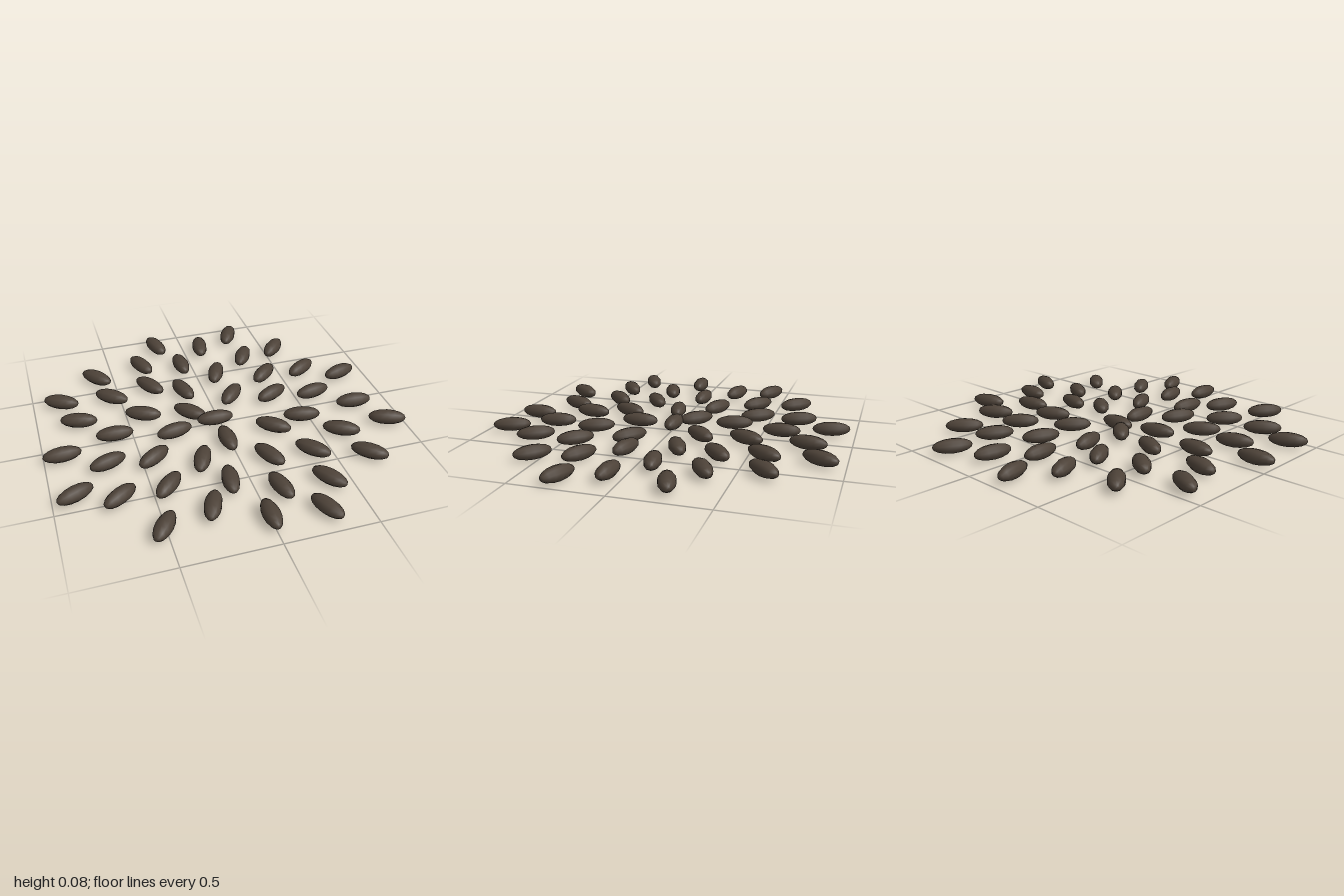
import * as THREE from 'three';

// Each seed: x and z in hundredths of a unit, heading in degrees (from +x towards +z)
const INNER = [
  [-3, 0, 1], [-15, -10, 45], [-2, 20, 88], [13, -20, -49], [-28, 5, -11], [26, 16, 39],
  [-13, -33, 74], [-20, 33, -66], [36, -14, -26], [-41, -16, 25], [15, 40, 64], [11, -45, -66],
  [-44, 24, -35], [45, 11, 13], [-31, -43, 57], [-11, 53, -83],
];
const MIDDLE = [
  [39, -36, -43], [-60, -2, 2], [39, 42, 47], [-7, -61, 87], [-42, 48, -47], [60, -9, -10],
  [-55, -38, 38], [12, 65, 78], [33, -59, -60], [-68, 21, -18], [61, 30, 30], [-31, -67, 68],
  [-25, 69, -67], [63, -35, -32], [-77, -20, 16], [38, 66, 56],
];
const OUTER = [
  [10, -78, -80], [-67, 49, -35], [79, 7, 4], [-60, -61, 49], [0, 83, 90], [55, -63, -48],
  [-90, 8, -4], [67, 53, 42], [-17, -87, 75], [-51, 76, -55], [84, -24, -17], [-84, -41, 28],
  [28, 86, 66], [32, -87, -63], [-88, 41, -24], [90, 28, 22],
];

// Low-sided ellipsoid with its poles at the two tips
function makeSeedGeometry() {
  const geometry = new THREE.SphereGeometry(1, 10, 8);
  geometry.rotateZ(-Math.PI / 2);
  geometry.scale(0.104, 0.04, 0.046);
  return geometry;
}

export function createModel() {
  const model = new THREE.Group();
  model.name = 'seedSpiral';
  const husk = new THREE.MeshStandardMaterial({ color: 0x4d4238 });
  husk.name = 'darkHusk';
  const geometry = makeSeedGeometry();

  for (const [name, seeds] of Object.entries({ innerSeeds: INNER, middleSeeds: MIDDLE, outerSeeds: OUTER })) {
    const ring = new THREE.Group();
    ring.name = name;
    for (const [x, z, heading] of seeds) {
      const seed = new THREE.Mesh(geometry, husk);
      seed.name = 'seed';
      seed.position.set(x / 100, 0.05, z / 100);
      seed.rotation.y = -THREE.MathUtils.degToRad(heading);
      ring.add(seed);
    }
    model.add(ring);
  }
  return model;
}
